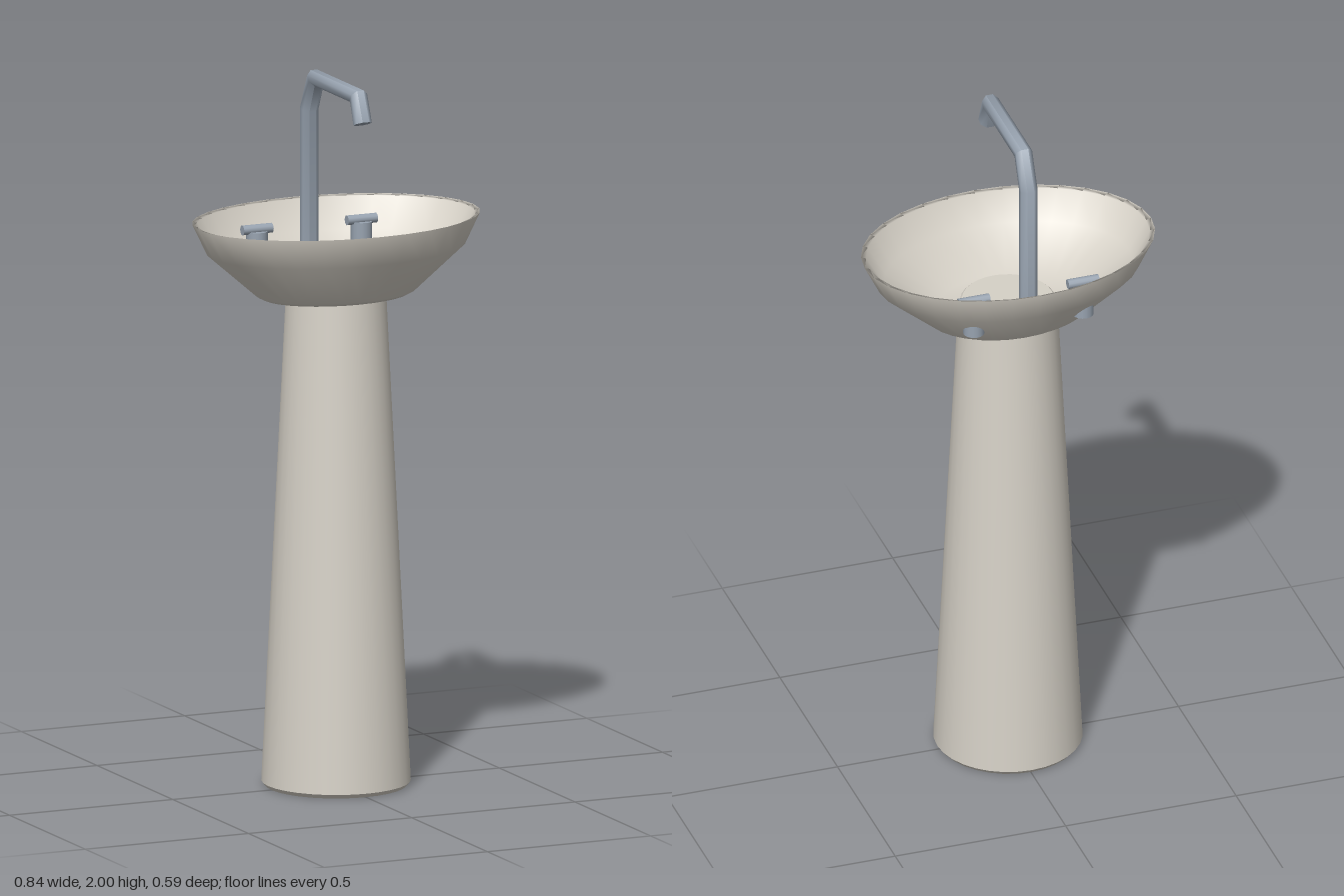
import * as THREE from 'three';
import { toCreasedNormals } from 'three/addons/utils/BufferGeometryUtils.js';

const ceramic = new THREE.MeshStandardMaterial({ name: 'warm ceramic', color: 0xd6d1c7 });
const metal = new THREE.MeshStandardMaterial({ name: 'blue grey metal', color: 0x98a3b0 });

const lathe = (pts, sides) =>
  new THREE.LatheGeometry(pts.map(([r, y]) => new THREE.Vector2(r, y)), sides);

function add(parent, name, geometry, material) {
  const mesh = new THREE.Mesh(geometry, material);
  mesh.name = name;
  parent.add(mesh);
  return mesh;
}

// Bent octagonal pipe: each row of a cylinder is moved to a [y, z, tilt] station
function pipeGeometry(stations, radius) {
  const rows = stations.length - 1;
  const geo = new THREE.CylinderGeometry(radius, radius, rows, 8, rows, false, Math.PI / 8);
  const pos = geo.attributes.position;
  for (let i = 0; i < pos.count; i++) {
    const [y, z, degrees] = stations[Math.round(pos.getY(i) + rows / 2)];
    const tilt = THREE.MathUtils.degToRad(degrees);
    const offset = pos.getZ(i);
    pos.setXYZ(i, pos.getX(i), y - offset * Math.sin(tilt), z + offset * Math.cos(tilt));
  }
  return toCreasedNormals(geo, 1.2);
}

export function createModel() {
  const model = new THREE.Group();
  model.name = 'pedestalSink';

  // Tapered column with softened ends, its top showing in the basin floor
  const column = lathe([[0, 0], [0.198, 0], [0.208, 0.012], [0.14, 1.39], [0.138, 1.42], [0.128, 1.43], [0, 1.43]], 32);
  add(model, 'pedestal', toCreasedNormals(column, 0.6), ceramic);

  // Oval bowl: up the outside, over the rim and down the inside
  const bowl = lathe([
    [0, 1.39], [0.215, 1.39], [0.235, 1.4], [0.377, 1.523], [0.42, 1.61],
    [0.405, 1.606], [0.355, 1.52], [0.2, 1.425], [0, 1.423],
  ], 32);
  bowl.scale(1, 1, 0.705);
  add(model, 'basin', bowl, ceramic);

  // Angular spout reaching over the bowl
  add(model, 'faucet', pipeGeometry([
    [1.447, -0.177, 0], [1.885, -0.177, 12], [1.98, -0.133, 57],
    [1.98, 0.148, 124], [1.908, 0.176, 158],
  ], 0.026), metal);

  // Pair of taps: a round post with a crossbar
  for (const [side, name] of [[1, 'leftTap'], [-1, 'rightTap']]) {
    const tap = new THREE.Group();
    tap.name = name;
    tap.position.set(side * 0.16, 0, -0.177);
    add(tap, 'tapPost', new THREE.CylinderGeometry(0.03, 0.03, 0.097, 16), metal).position.y = 1.5015;
    const bar = add(tap, 'tapBar', new THREE.CylinderGeometry(0.014, 0.014, 0.09, 12), metal);
    bar.rotation.z = Math.PI / 2;
    bar.position.y = 1.556;
    model.add(tap);
  }
  return model;
}
